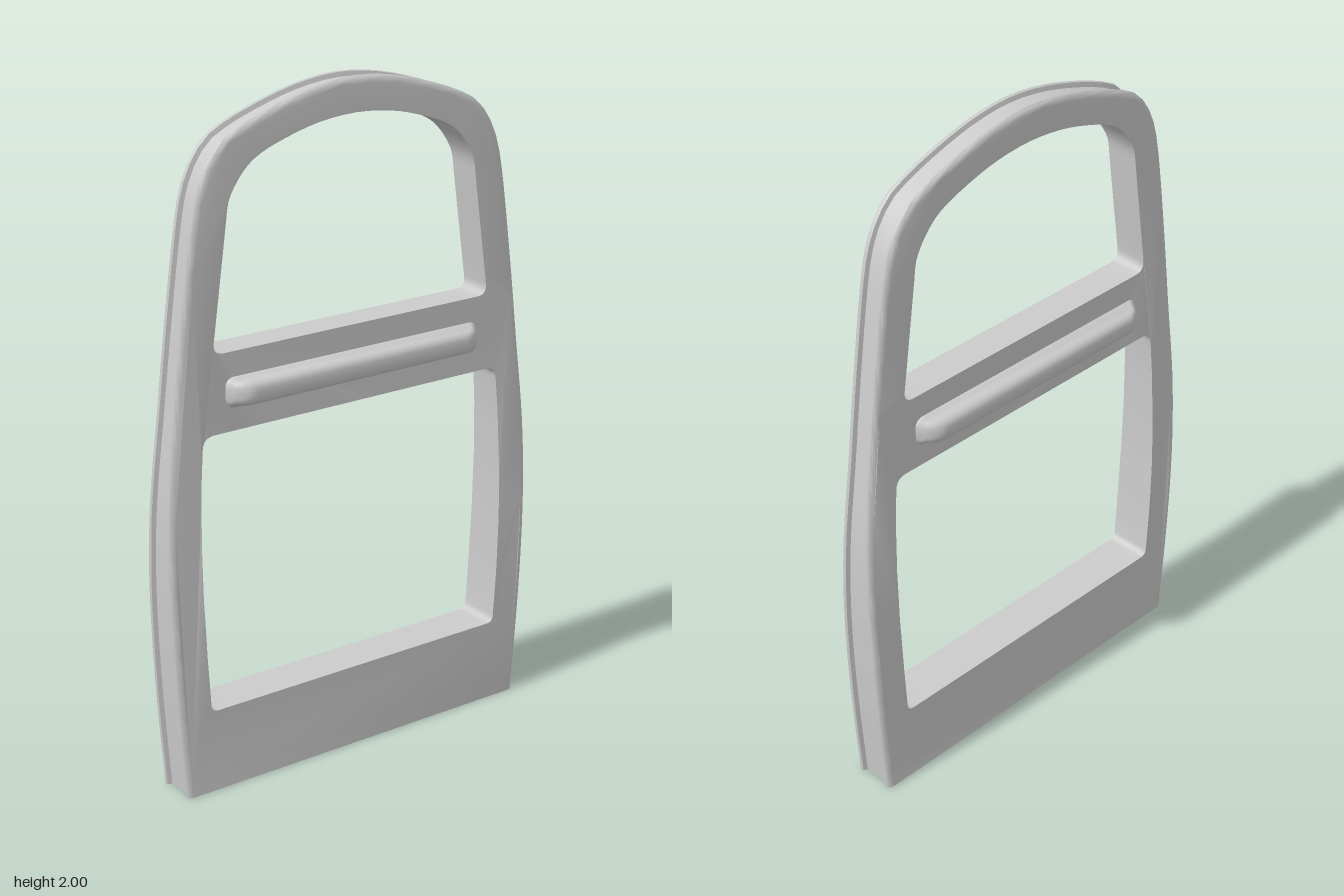
import * as THREE from 'three';
import { mergeGeometries, toCreasedNormals } from 'three/addons/utils/BufferGeometryUtils.js';

const V2 = (p) => new THREE.Vector2(p[0], p[1]);
const V3 = (x, y, z) => new THREE.Vector3(x, y, z);

// half thickness of the door at a height: thicker towards the sill
const half = (y) => 0.066 - 0.016 * THREE.MathUtils.smoothstep(y, 0.4, 1.2);

// skin over rows of points
function skin(rows, closed = false) {
  const pos = [];
  const n = rows[0].length;
  for (let i = 0; i + 1 < rows.length; i++) {
    for (let j = 0; j < (closed ? n : n - 1); j++) {
      const k = (j + 1) % n;
      const a = rows[i][j], b = rows[i + 1][j], c = rows[i + 1][k], d = rows[i][k];
      for (const p of [a, b, c, a, c, d]) pos.push(p.x, p.y, p.z);
    }
  }
  const g = new THREE.BufferGeometry();
  g.setAttribute('position', new THREE.Float32BufferAttribute(pos, 3));
  return g;
}

// half outline (z, y) from the bottom to the crown, mirrored to the other side
const mirrored = (pts) => [...pts, ...pts.filter((p) => p[0] > 0).reverse().map(([z, y]) => [-z, y])];

// closed window outline: smooth side and top line plus rounded corners
function cornered(pts, r, n = 5) {
  // pts: corner polygon; r: corner radius for each point
  const out = [];
  pts.forEach((p, i) => {
    const v = V2(p), a = V2(pts[(i + pts.length - 1) % pts.length]), b = V2(pts[(i + 1) % pts.length]);
    if (!r[i]) return out.push(v);
    const s = v.clone().add(a.sub(v).setLength(r[i]));
    const e = v.clone().add(b.sub(v).setLength(r[i]));
    out.push(...new THREE.QuadraticBezierCurve(s, v, e).getPoints(n));
  });
  return out;
}

// split long edges so that panels follow the changing thickness
function densify(pts, step = 0.08) {
  return pts.flatMap((p, i) => {
    const q = pts[(i + 1) % pts.length];
    const n = Math.max(1, Math.ceil(p.distanceTo(q) / step));
    return Array.from({ length: n }, (_, k) => p.clone().lerp(q, k / n));
  });
}

function doorFrame() {
  // outer outline
  const outline = new THREE.SplineCurve(mirrored([
    [0.6, 0], [0.62, 0.25], [0.633, 0.5], [0.637, 0.7], [0.63, 0.9], [0.603, 1.15], [0.57, 1.42],
    [0.532, 1.68], [0.5, 1.79], [0.45, 1.865], [0.39, 1.905], [0.28, 1.947], [0.14, 1.985], [0, 2],
  ]).map(V2));
  const N = 96;
  const path = Array.from({ length: N + 1 }, (_, i) => {
    const p = outline.getPointAt(i / N);
    const t = outline.getTangentAt(i / N);
    const inward = i === 0 ? V2([-1, 0]) : i === N ? V2([1, 0]) : V2([-t.y, t.x]);
    return { p, inward };
  });
  // edge profile: [depth from the side face, inset], two rims with a seal groove between
  const rim = [[0, 0.018], [0.003, 0.007], [0.009, 0.001], [0.014, 0], [0.019, 0.002], [0.023, 0.015]];
  const edgeRows = path.map(({ p, inward }) => {
    const at = (side, [d, inset]) => {
      const q = p.clone().addScaledVector(inward, inset);
      return V3(side * (half(q.y) - d), q.y, q.x);
    };
    return [...rim.map((r) => at(1, r)), ...[...rim].reverse().map((r) => at(-1, r))];
  });

  // window opening
  const upperArc = new THREE.SplineCurve(mirrored([
    [0.429, 1.66], [0.418, 1.72], [0.38, 1.78], [0.33, 1.823], [0.25, 1.856], [0.13, 1.888], [0, 1.9],
  ]).map(V2)).getPoints(40);
  const upperCorners = cornered([[0.48, 1.298], [0.429, 1.66], [-0.429, 1.66], [-0.48, 1.298]], [0.035, 0, 0, 0.035]);
  const upper = densify([
    ...upperCorners.filter((p) => p.x > 0 && p.y < 1.6), ...upperArc,
    ...upperCorners.filter((p) => p.x < 0 && p.y < 1.6),
  ]);
  // lower panel opening with bowed sides
  const lowerSide = mirrored([
    [0.515, 0.25], [0.526, 0.42], [0.533, 0.6], [0.533, 0.76], [0.527, 0.93], [0.516, 1.07],
  ]);
  const lower = densify(cornered(lowerSide, lowerSide.map(([, y]) => (y === 1.07 ? 0.035 : y === 0.25 ? 0.022 : 0))));

  const wall = (loop) => skin([...loop, loop[0]].map((p) => [V3(-half(p.y), p.y, p.x), V3(half(p.y), p.y, p.x)]));

  // side panels with both openings
  const shape = new THREE.Shape(edgeRows.map((r) => V2([r[0].z, r[0].y])));
  shape.holes = [upper, lower].map((h) => new THREE.Path(h));
  const panel = (side) => {
    const g = new THREE.ShapeGeometry(shape).toNonIndexed();
    const p = g.attributes.position;
    const corners = Array.from({ length: p.count }, (_, i) => V3(side * half(p.getY(i)), p.getY(i), p.getX(i)));
    const pos = [];
    for (let i = 0; i < corners.length; i += 3) {
      for (const k of side < 0 ? [0, 1, 2] : [0, 2, 1]) pos.push(...corners[i + k].toArray());
    }
    const out = new THREE.BufferGeometry();
    out.setAttribute('position', new THREE.Float32BufferAttribute(pos, 3));
    return out;
  };

  const sill = skin([edgeRows[N], edgeRows[0]]);
  return toCreasedNormals(
    mergeGeometries([skin(edgeRows), panel(1), panel(-1), wall(upper), wall(lower), sill]), 0.6);
}

// soft bar standing out of the side face, lofted from rounded rectangles
function armBar() {
  const layers = [
    [0.04, 0.441, 0.045], [0.052, 0.44, 0.044], [0.06, 0.434, 0.039], [0.072, 0.426, 0.036], [0.086, 0.415, 0.034],
    [0.096, 0.4, 0.03], [0.102, 0.388, 0.023], [0.105, 0.375, 0.013],
  ];
  const rows = layers.map(([x, hz, hy]) => {
    const r = Math.min(0.026, hy * 0.9);
    const loop = [];
    [[1, 1], [-1, 1], [-1, -1], [1, -1]].forEach(([sz, sy], q) => {
      for (let k = 0; k <= 6; k++) {
        const a = (q + k / 6) * Math.PI / 2;
        loop.push(V3(x, 1.181 + sy * (hy - r) + r * Math.sin(a), sz * (hz - r) + r * Math.cos(a)));
      }
    });
    return loop;
  });
  const last = rows[rows.length - 1];
  // close the outer face along its centre line
  rows.push(last.map((p) => V3(p.x, 1.181, p.z * 0.97)));
  return toCreasedNormals(skin(rows, true), 0.9);
}

export function createModel() {
  const group = new THREE.Group();
  const material = new THREE.MeshStandardMaterial({ color: 0xcccccc });
  const add = (name, geometry) => {
    const mesh = new THREE.Mesh(geometry, material);
    mesh.name = name;
    group.add(mesh);
    return mesh;
  };
  add('doorFrame', doorFrame());
  const bar = armBar();
  add('leftBar', bar);
  add('rightBar', bar).rotation.y = Math.PI;
  return group;
}
